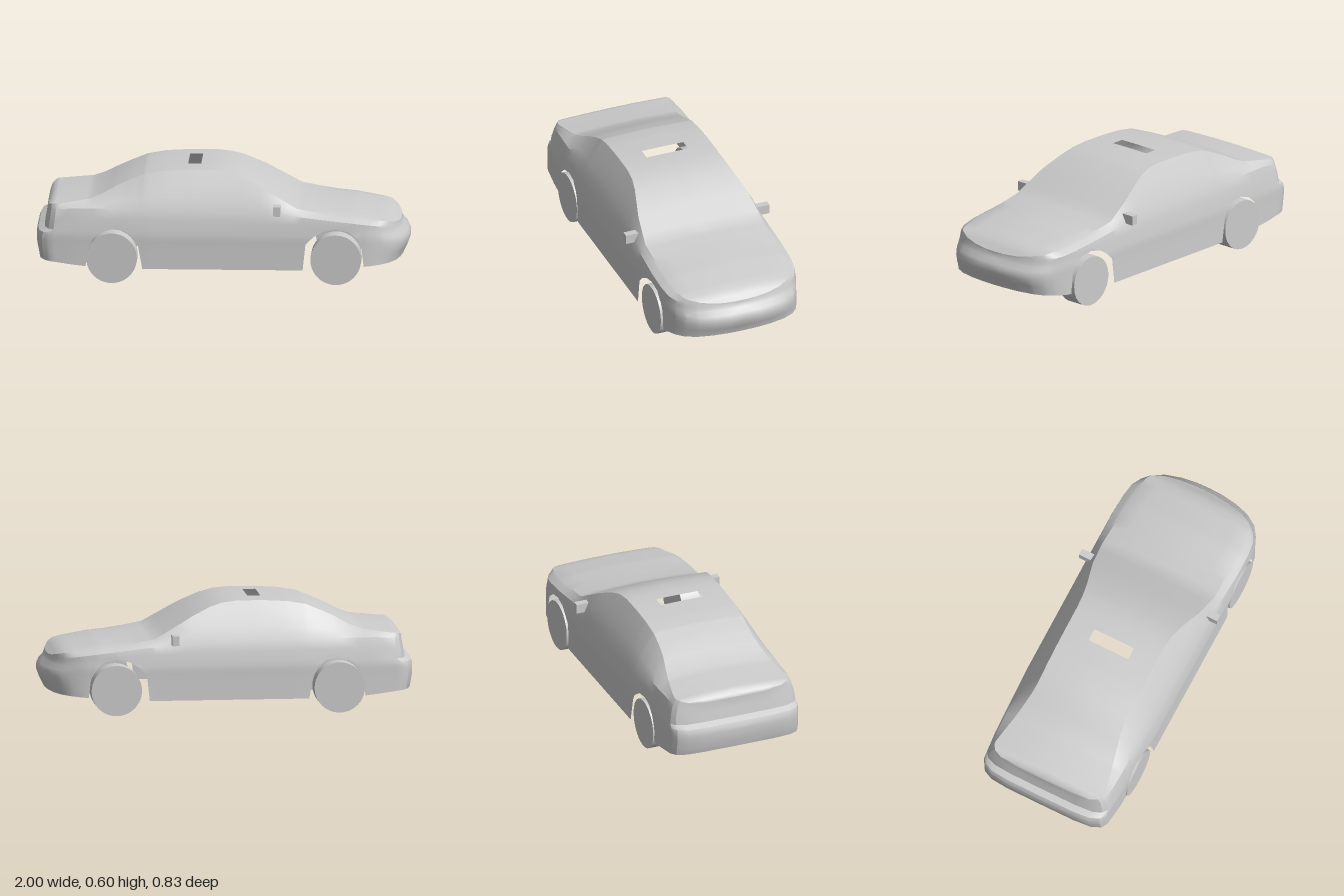
import * as THREE from 'three';
import { toCreasedNormals } from 'three/addons/utils/BufferGeometryUtils.js';

const grey = new THREE.MeshStandardMaterial({ color: 0xcccccc });
const shellGrey = new THREE.MeshStandardMaterial({ color: 0xcccccc, side: THREE.DoubleSide });

// Linear lookup in a list of [position, value] pairs
function at(table, x) {
  if (x <= table[0][0]) return table[0][1];
  for (let i = 1; i < table.length; i++) {
    const [x0, v0] = table[i - 1], [x1, v1] = table[i];
    if (x <= x1) return v0 + (v1 - v0) * (x - x0) / (x1 - x0);
  }
  return table[table.length - 1][1];
}

// Plan outline: half-width along the length
const outline = [[-1, 0], [-0.999, 0.2], [-0.99, 0.3], [-0.965, 0.35], [-0.93, 0.37], [-0.8, 0.381],
  [-0.4, 0.395], [0.6, 0.395], [0.72, 0.388], [0.8, 0.375], [0.87, 0.347], [0.92, 0.312],
  [0.96, 0.25], [0.985, 0.165], [0.997, 0.08], [1, 0]];
// Lower edge with both wheel arches
const lowerEdge = [[-1, 0.12], [-0.73, 0.09], [-0.71, 0.2], [-0.69, 0.24], [-0.65, 0.275], [-0.59, 0.293],
  [-0.52, 0.285], [-0.47, 0.25], [-0.45, 0.215], [-0.425, 0.08], [0.435, 0.08], [0.45, 0.22],
  [0.49, 0.26], [0.54, 0.29], [0.61, 0.305], [0.68, 0.29], [0.73, 0.25], [0.75, 0.2], [0.762, 0.1], [1, 0.115]];
// Centre-line silhouette of hood, glass, roof and trunk
const topLine = [[-0.945, 0.385], [-0.93, 0.415], [-0.9, 0.43], [-0.71, 0.455], [-0.65, 0.478], [-0.57, 0.52],
  [-0.5, 0.552], [-0.42, 0.582], [-0.33, 0.595], [-0.19, 0.603], [-0.05, 0.603], [0.03, 0.595], [0.1, 0.575],
  [0.2, 0.53], [0.3, 0.475], [0.4, 0.42], [0.5, 0.405], [0.7, 0.382], [0.85, 0.355], [0.9, 0.338], [0.95, 0.3]];
// Shoulder height, and half-width and drop of the roof or deck edge
const shoulder = [[-1, 0.385], [-0.8, 0.4], [-0.4, 0.4], [0.1, 0.388], [0.4, 0.368], [0.7, 0.335], [0.85, 0.315], [1, 0.298]];
const edgeWidth = [[-0.95, 0.345], [-0.85, 0.325], [-0.7, 0.293], [-0.55, 0.262], [-0.45, 0.258], [0, 0.26],
  [0.1, 0.278], [0.25, 0.318], [0.4, 0.338], [0.7, 0.33], [0.95, 0.3]];
const edgeDrop = [[-0.95, 0], [-0.88, 0.014], [-0.5, 0.012], [-0.3, 0.006], [0, 0.006], [0.4, 0.014], [0.6, 0.022], [0.85, 0.016], [0.95, 0]];
// Reach of nose and tail, and width factor, by height
const nose = [[0.08, 0.955], [0.12, 0.965], [0.16, 0.985], [0.2, 1], [0.225, 0.998], [0.245, 0.988], [0.265, 0.966], [0.285, 0.957], [0.33, 0.94]];
const tail = [[0.08, -0.97], [0.12, -0.985], [0.2, -1], [0.25, -1], [0.27, -0.99], [0.285, -0.957], [0.33, -0.95], [0.4, -0.938]];
const width = [[0.08, 1], [0.2, 0.992], [0.26, 0.992], [0.285, 0.98], [0.33, 0.97], [0.4, 0.92]];

const sideRows = [0, 0.12, 0.16, 0.2, 0.225, 0.245, 0.268, 0.285];
const crown = [1, 0.75, 0.12 / 0.26, 0.22, 0];
const holeX = [-0.19, -0.12];

function hullPoint(p, y) {
  let x = p;
  if (p > 0.8) x = 0.8 + (p - 0.8) * (at(nose, y) - 0.8) / 0.2;
  if (p < -0.8) x = -0.8 + (p + 0.8) * (at(tail, y) + 0.8) / -0.2;
  return [x, y, at(outline, p) * at(width, y)];
}

// One half-section from the lower edge up to the centre line
function section(p) {
  const low = at(lowerEdge, p), ys = at(shoulder, p), pts = [];
  for (const y of sideRows) pts.push(hullPoint(p, Math.max(y, low)));
  const base = Math.max(0.285, low);
  for (const t of [0.5, 1]) pts.push(hullPoint(p, base + (ys - base) * t));
  const [x, , zs] = pts[pts.length - 1];
  const top = Math.max(at(topLine, x), ys);
  const ye = Math.max(top - at(edgeDrop, x), ys);
  const ze = Math.min(at(edgeWidth, x), zs * 0.95);
  // Side glass, slightly bowed
  for (const t of [0.33, 0.67]) {
    const bow = 0.03 * (ye - ys) * Math.sin(Math.PI * t);
    pts.push([x, ys + (ye - ys) * t, zs + (ze - zs) * t + bow]);
  }
  for (const f of crown) pts.push([x, ye + (top - ye) * (1 - f * f), ze * f]);
  return pts;
}

function bodyShell() {
  const xs = [...outline, ...lowerEdge, ...topLine].map(([x]) => x).concat(holeX, [-0.3, 0.25, 0.35]);
  const stations = [...new Set(xs)].sort((a, b) => a - b);
  const grid = stations.map(section);
  const n = grid[0].length, pos = [], index = [];
  for (const s of [1, -1]) {
    const start = pos.length / 3;
    for (const row of grid) for (const [x, y, z] of row) pos.push(x, y, s * z);
    for (let i = 0; i < grid.length - 1; i++) {
      for (let j = 0; j < n - 1; j++) {
        // Leave the roof opening free
        const inHole = stations[i] >= holeX[0] && stations[i + 1] <= holeX[1];
        if (inHole && j >= n - 3) continue;
        const a = start + i * n + j, b = a + n, c = b + 1, d = a + 1;
        if (s > 0) index.push(a, b, c, a, c, d);
        else index.push(a, c, b, a, d, c);
      }
    }
  }
  const geo = new THREE.BufferGeometry();
  geo.setAttribute('position', new THREE.Float32BufferAttribute(pos, 3));
  geo.setIndex(index);
  return toCreasedNormals(geo, 0.5);
}

export function createModel() {
  const car = new THREE.Group();
  car.name = 'sedan';
  const add = (name, geo, mat, x, y, z) => {
    const mesh = new THREE.Mesh(geo, mat);
    mesh.name = name;
    mesh.position.set(x, y, z);
    car.add(mesh);
  };

  add('bodyShell', bodyShell(), shellGrey, 0, 0, 0);

  // Plain disc wheels and door mirrors on both sides
  const wheel = new THREE.CylinderGeometry(0.136, 0.136, 0.106, 40).rotateX(Math.PI / 2);
  const mirror = new THREE.BoxGeometry(0.038, 0.052, 0.08);
  for (const [side, s] of [['right', 1], ['left', -1]]) {
    add(side + 'FrontWheel', wheel, grey, 0.612, 0.136, s * 0.336);
    add(side + 'RearWheel', wheel, grey, -0.59, 0.136, s * 0.336);
    add(side + 'Mirror', mirror, grey, 0.295, 0.404, s * 0.375);
  }
  return car;
}
